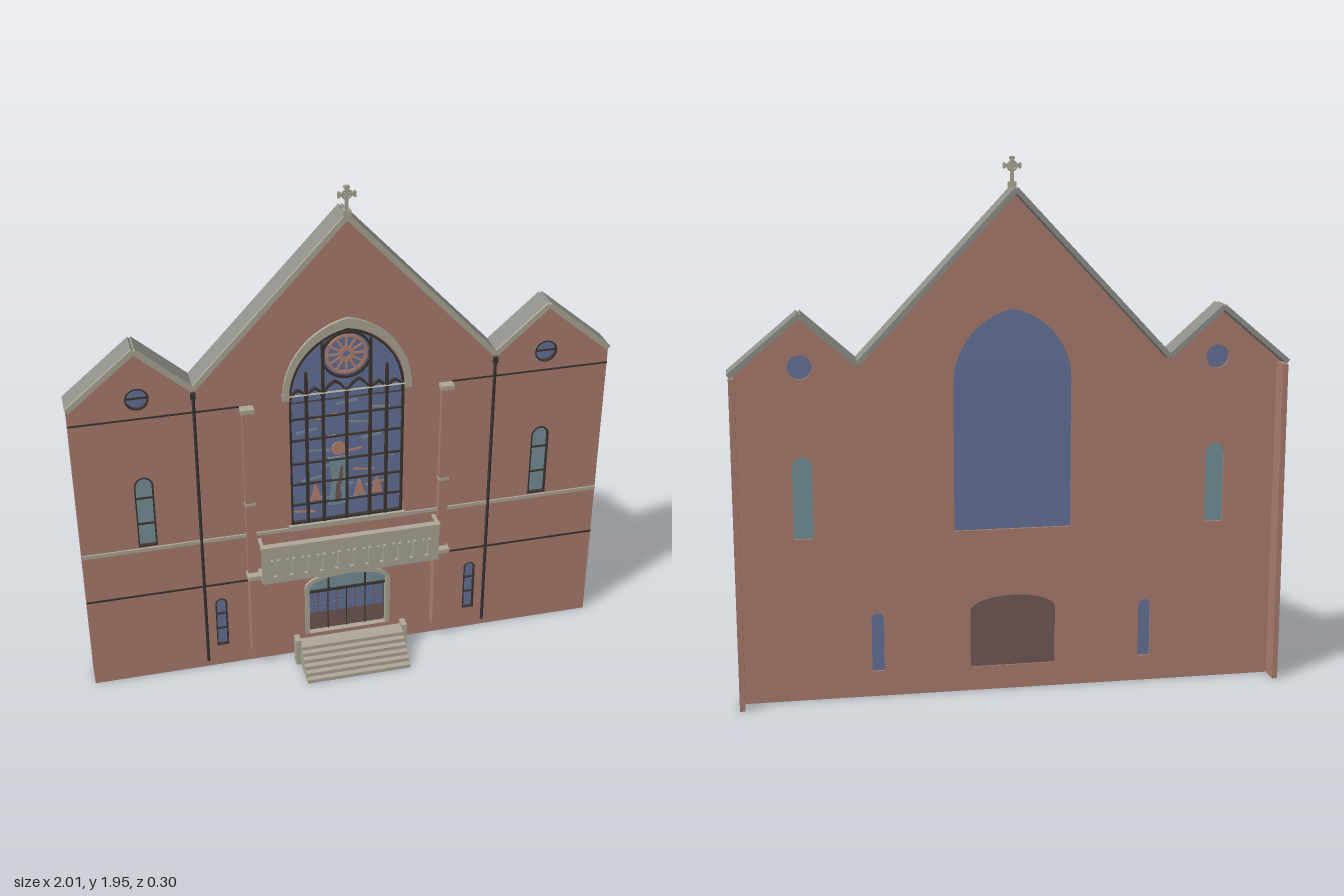
import * as THREE from 'three';

const mat = (name, color) => {
  const m = new THREE.MeshStandardMaterial({ color });
  m.name = name;
  return m;
};

export function createModel() {
  const root = new THREE.Group();
  root.name = 'churchFacade';
  const brick = mat('brick', 0xab7d6f), stone = mat('stone', 0xaea797), slate = mat('roofGrey', 0x90908a);
  const dark = mat('darkMetal', 0x3b3532), blue = mat('blueGlass', 0x66749a), teal = mat('tealGlass', 0x76929a);
  const wood = mat('doorWood', 0x725a57), salmon = mat('salmonGlass', 0xb98272);
  const FRONT = -0.05;

  const add = (name, geo, m) => {
    const mesh = new THREE.Mesh(geo, m);
    mesh.name = name;
    root.add(mesh);
    return mesh;
  };
  // Box given by its limits
  const box = (name, m, x0, x1, y0, y1, z0, z1) => {
    const mesh = add(name, new THREE.BoxGeometry(x1 - x0, y1 - y0, z1 - z0), m);
    mesh.position.set((x0 + x1) / 2, (y0 + y1) / 2, (z0 + z1) / 2);
    return mesh;
  };
  // Bar between two points in the front plane
  const bar = (name, m, a, b, w, z0, z1) => {
    const dx = b[0] - a[0], dy = b[1] - a[1];
    const mesh = add(name, new THREE.BoxGeometry(Math.hypot(dx, dy), w, z1 - z0), m);
    mesh.position.set((a[0] + b[0]) / 2, (a[1] + b[1]) / 2, (z0 + z1) / 2);
    mesh.rotation.z = Math.atan2(dy, dx);
    return mesh;
  };
  // Outline with straight jambs and a round or pointed head
  const arch = (x, w, y0, ys, h, pointed = false, n = 12) => {
    const right = [], r = (h * h + w * w) / (2 * w), end = Math.asin(Math.min(1, h / r));
    for (let i = 0; i <= n; i++) {
      const t = i / n;
      right.push(pointed
        ? [w - r + r * Math.cos(end * t), ys + r * Math.sin(end * t)]
        : [w * Math.cos(Math.PI / 2 * t), ys + h * Math.sin(Math.PI / 2 * t)]);
    }
    const left = right.slice(0, -1).reverse().map(([a, b]) => [-a, b]);
    return [[-w, y0], [w, y0], ...right, ...left].map(([a, b]) => new THREE.Vector2(a + x, b));
  };
  const disc = (x, y, r, n = 28) => Array.from({ length: n }, (_, i) =>
    new THREE.Vector2(x + r * Math.cos(i / n * 2 * Math.PI), y + r * Math.sin(i / n * 2 * Math.PI)));
  // Flat outline with holes, extruded from z0 to z1
  const slab = (name, m, pts, holes, z0, z1) => {
    const s = new THREE.Shape(pts);
    s.holes = holes.map(h => new THREE.Path(h));
    const g = new THREE.ExtrudeGeometry(s, { depth: z1 - z0, bevelEnabled: false });
    return add(name, g.translate(0, 0, z0), m);
  };
  const mirrored = fn => [-1, 1].forEach(fn);

  // Openings
  const great = arch(0, 0.215, 0.61, 1.15, 0.265, true);
  const door = arch(0, 0.158, 0.09, 0.305, 0.055);
  const openings = [great, door], side = [];
  mirrored(s => {
    side.push({ pts: arch(s * 0.497, 0.023, 0.095, 0.293, 0.023), m: blue, x: s * 0.497, w: 0.023, bars: [0.17, 0.24] });
    side.push({ pts: arch(s * 0.755, 0.035, 0.605, 0.865, 0.038), m: teal, x: s * 0.755, w: 0.035, bars: [0.7, 0.81] });
    side.push({ pts: disc(s * 0.755, 1.225, 0.043), m: blue, x: s * 0.755, w: 0.043, bars: [1.225] });
  });
  side.forEach(o => openings.push(o.pts));

  // Brick wall and its returns
  const gable = [[-1, 1.21], [-0.755, 1.415], [-0.558, 1.24], [0, 1.835], [0.558, 1.24], [0.755, 1.415], [1, 1.21]];
  const outline = [[-1, 0], [1, 0], ...[...gable].reverse()].map(p => new THREE.Vector2(...p));
  slab('wall', brick, outline, openings, -0.078, FRONT);
  mirrored(s => box('wallReturn', brick, s * 0.99 - 0.01, s * 0.99 + 0.01, 0, 1.2, -0.15, -0.06));

  // Roof slopes with a pale coping on the front edge
  for (let i = 0; i < 6; i++) {
    const [a, b] = [gable[i], gable[i + 1]];
    bar('roofSlope', slate, a, b, 0.018, -0.15, -0.052);
    bar('coping', stone, a, b, 0.02, -0.052, -0.043);
  }

  // Side windows: glass, rim and glazing bars
  side.forEach(o => {
    const c = new THREE.Box2().setFromPoints(o.pts).getCenter(new THREE.Vector2());
    const k = 1 - 0.005 / o.w;
    const inner = o.pts.map(p => new THREE.Vector2(c.x + (p.x - c.x) * k, c.y + (p.y - c.y) * (o.bars.length > 1 ? 0.965 : k)));
    slab('windowGlass', o.m, o.pts, [], -0.068, -0.062);
    slab('windowRim', dark, o.pts, [inner], -0.062, -0.048);
    o.bars.forEach(y => box('glazingBar', dark, o.x - o.w, o.x + o.w, y - 0.003, y + 0.003, -0.062, -0.056));
  });

  // Great window
  slab('greatWindowGlass', blue, great, [], -0.068, -0.062);
  slab('greatWindowRim', dark, great, [arch(0, 0.207, 0.618, 1.15, 0.255, true)], -0.062, -0.048);
  slab('hoodMould', stone, arch(0, 0.238, 1.165, 1.166, 0.29, true), [arch(0, 0.215, 1.1651, 1.1655, 0.252, true)], -0.052, -0.038);
  mirrored(s => box('hoodStop', stone, s * 0.227 - 0.013, s * 0.227 + 0.013, 1.15, 1.178, -0.052, -0.037));
  box('greatWindowSill', stone, -0.225, 0.225, 0.59, 0.61, -0.065, -0.035);

  // Tracery
  const posts = [-0.211, -0.15, -0.088, 0, 0.088, 0.15, 0.211];
  posts.slice(1, -1).forEach(x => {
    const top = x === 0 ? 1.17 : Math.abs(x) < 0.1 ? 1.36 : 1.25;
    box('mullion', dark, x - 0.005, x + 0.005, 0.61, top, -0.062, -0.046);
  });
  for (let i = 0; i < 6; i++) {
    const w = (posts[i + 1] - posts[i]) / 2, x = posts[i] + w;
    slab('lancetHead', dark, arch(x, w, 1.13, 1.14, w * 1.5, true, 6),
      [arch(x, w - 0.006, 1.1301, 1.14, w * 1.5 - 0.009, true, 6)], -0.062, -0.05);
  }
  [0.69, 0.78, 0.87, 0.97, 1.06].forEach(y => box('crossBar', dark, -0.211, 0.211, y - 0.003, y + 0.003, -0.062, -0.054));

  // Rose
  slab('roseRim', dark, disc(0, 1.305, 0.094), [disc(0, 1.305, 0.086)], -0.062, -0.05);
  slab('roseRing', salmon, disc(0, 1.305, 0.078), [disc(0, 1.305, 0.068)], -0.062, -0.057);
  slab('roseHub', salmon, disc(0, 1.305, 0.03), [disc(0, 1.305, 0.014)], -0.062, -0.057);
  for (let i = 0; i < 12; i++) {
    const a = i * Math.PI / 6, c = Math.cos(a), s = Math.sin(a);
    bar('rosePetal', salmon, [c * 0.028, 1.305 + s * 0.028], [c * 0.07, 1.305 + s * 0.07], 0.008, -0.062, -0.058);
  }

  // Stained glass streaks and figure
  for (let i = 0; i < 18; i++) {
    const x = -0.16 + 0.32 * ((i * 0.618) % 1), y = 0.66 + i * 0.026;
    bar('glassStreak', i % 3 ? teal : salmon, [x - 0.04, y], [x + 0.04, y + (i % 2 ? 0.012 : -0.01)], 0.009, -0.0625, -0.06);
  }
  const poly = (name, m, pts) => slab(name, m, pts.map(p => new THREE.Vector2(...p)), [], -0.062, -0.0585);
  poly('figureRobe', teal, [[-0.07, 0.67], [0, 0.67], [-0.005, 0.78], [0.01, 0.88], [-0.07, 0.88], [-0.055, 0.78]]);
  poly('figureCloak', wood, [[-0.045, 0.68], [-0.01, 0.68], [-0.015, 0.84], [-0.035, 0.84]]);
  slab('figureHead', salmon, disc(-0.03, 0.915, 0.028, 12), [], -0.062, -0.0585);
  [-0.118, 0.05, 0.118].forEach(x => poly('glassFlame', salmon, [[x - 0.022, 0.7], [x + 0.022, 0.7], [x, 0.78]]));

  // Entrance
  slab('doorPanel', wood, door, [], -0.072, -0.064);
  slab('doorSurround', stone, arch(0, 0.17, 0.09, 0.308, 0.066), [arch(0, 0.153, 0.0901, 0.305, 0.05)], -0.065, -0.04);
  slab('transomGlass', teal, arch(0, 0.15, 0.28, 0.303, 0.047), [], -0.064, -0.06);
  [-0.073, 0.073].forEach(x => box('transomPost', dark, x - 0.004, x + 0.004, 0.28, 0.345, -0.064, -0.055));
  box('transomBar', dark, -0.153, 0.153, 0.274, 0.284, -0.064, -0.053);
  for (let i = 0; i < 8; i++) for (let j = 0; j < 2; j++) {
    const x = -0.148 + i * 0.0375, y = 0.173 + j * 0.05;
    box('doorPane', blue, x, x + 0.032, y, y + 0.044, -0.064, -0.061);
  }
  [-0.075, 0, 0.075].forEach(x => box('doorJoint', dark, x - 0.002, x + 0.002, 0.09, 0.275, -0.064, -0.06));

  // Steps and cheek blocks
  for (let i = 0; i < 6; i++) box('step', stone, -0.205, 0.205, i * 0.0155, (i + 1) * 0.0155, -0.015, 0.15 - i * 0.0215);
  mirrored(s => box('stepCheek', stone, s * 0.213 - 0.01, s * 0.213 + 0.01, 0, 0.115, -0.015, 0.028));

  // Balcony with pierced front
  const holes = [];
  for (let i = 0; i < 11; i++) {
    const x = -0.295 + i * 0.059;
    holes.push([[-0.007, 0.432], [0.007, 0.432], [0.007, 0.505], [0.017, 0.505], [0.016, 0.525], [0, 0.542],
      [-0.016, 0.525], [-0.017, 0.505], [-0.007, 0.505]].map(([a, b]) => new THREE.Vector2(x + a, b)));
  }
  const rect = [[-0.345, 0.405], [0.345, 0.405], [0.345, 0.56], [-0.345, 0.56]].map(p => new THREE.Vector2(...p));
  slab('balconyFront', stone, rect, holes, 0.01, 0.022);
  box('balconyBacking', stone, -0.343, 0.343, 0.41, 0.56, 0.002, 0.01);
  box('balconyRail', stone, -0.348, 0.348, 0.56, 0.571, 0, 0.026);
  box('balconyFloor', stone, -0.345, 0.345, 0.405, 0.43, -0.055, 0.01);
  mirrored(s => {
    box('balconyEndRail', stone, s * 0.34 - 0.006, s * 0.34 + 0.006, 0.56, 0.57, -0.05, 0.002);
    // Pilasters
    const p = (name, m, a, b, y0, y1, z) => box(name, m, Math.min(s * a, s * b), Math.max(s * a, s * b), y0, y1, -0.055, z);
    p('pilasterBase', brick, 0.337, 0.39, 0.07, 0.412, -0.005);
    p('pilasterLedge', stone, 0.335, 0.396, 0.412, 0.43, -0.002);
    p('pilasterShaft', brick, 0.353, 0.39, 0.43, 1.13, -0.03);
    p('pilasterBand', stone, 0.351, 0.392, 0.732, 0.742, -0.027);
    p('pilasterCap', stone, 0.347, 0.396, 1.13, 1.147, -0.016);
    // String courses
    p('upperCourse', dark, 0.396, 1, 1.145, 1.151, -0.046);
    p('middleCourse', stone, 0.225, 1, 0.586, 0.6, -0.043);
    p('lowerCourse', dark, 0.39, 1, 0.382, 0.389, -0.046);
    // Drainpipe with hopper
    const pipe = add('drainpipe', new THREE.CylinderGeometry(0.006, 0.006, 1.19, 10), dark);
    pipe.position.set(s * 0.558, 0.625, -0.046);
    p('rainHopper', dark, 0.549, 0.567, 1.205, 1.228, -0.038);
  });

  // Finial cross
  box('crossFoot', stone, -0.014, 0.014, 1.83, 1.858, -0.064, -0.042);
  box('crossPost', stone, -0.006, 0.006, 1.85, 1.945, -0.058, -0.048);
  box('crossArm', stone, -0.031, 0.031, 1.906, 1.919, -0.058, -0.048);
  const ring = add('crossRing', new THREE.TorusGeometry(0.016, 0.004, 6, 20), stone);
  ring.position.set(0, 1.9125, -0.053);
  mirrored(s => box('crossTip', stone, s * 0.028 - 0.004, s * 0.028 + 0.004, 1.902, 1.923, -0.059, -0.047));
  box('crossTopTip', stone, -0.01, 0.01, 1.935, 1.943, -0.059, -0.047);
  return root;
}
